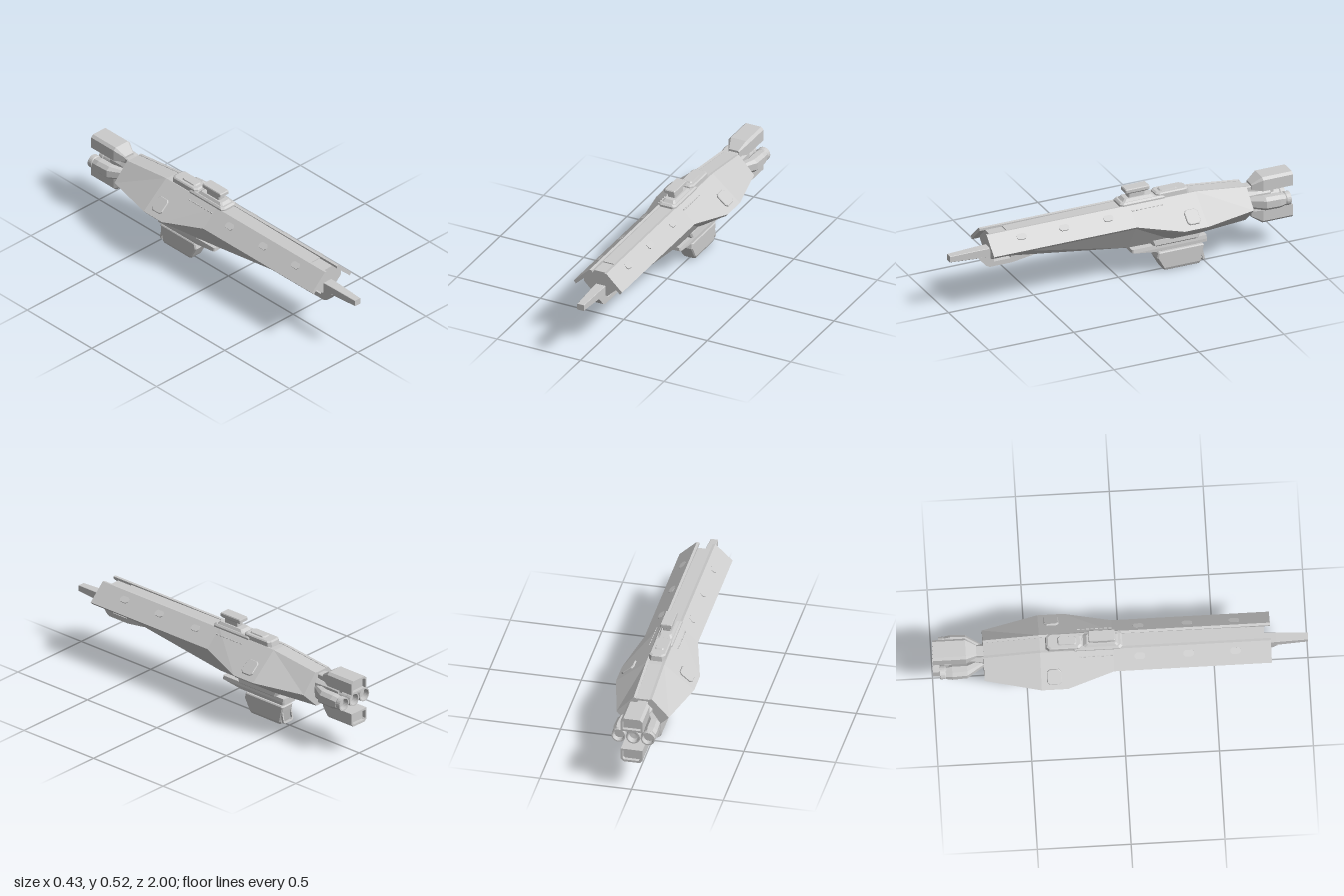
import * as THREE from 'three';

const mat = new THREE.MeshStandardMaterial({ color: 0xcccccc, flatShading: true, side: THREE.DoubleSide });

// Closed solid through convex cross-sections [z, [[x, y], ...]], listed from front to back
function loft(sections) {
  let area = 0;
  const first = sections[0][1], n = first.length, v = [];
  first.forEach((p, i) => { const q = first[(i + 1) % n]; area += p[0] * q[1] - q[0] * p[1]; });
  const rings = sections.map(([z, pts]) => (area < 0 ? [...pts].reverse() : pts).map(p => [p[0], p[1], z]));
  for (let k = 0; k + 1 < rings.length; k++) {
    const a = rings[k], b = rings[k + 1];
    for (let i = 0; i < n; i++) {
      const j = (i + 1) % n;
      v.push(...a[i], ...b[i], ...a[j], ...a[j], ...b[i], ...b[j]);
    }
  }
  const f = rings[0], r = rings[rings.length - 1];
  for (let i = 1; i < n - 1; i++) v.push(...f[0], ...f[i], ...f[i + 1], ...r[0], ...r[i + 1], ...r[i]);
  const g = new THREE.BufferGeometry();
  g.setAttribute('position', new THREE.Float32BufferAttribute(v, 3));
  g.computeVertexNormals();
  return g;
}

// Chamfered rectangle, as points
const chamfer = (x0, x1, y0, y1, c) => [
  [x0 + c, y0], [x1 - c, y0], [x1, y0 + c], [x1, y1 - c],
  [x1 - c, y1], [x0 + c, y1], [x0, y1 - c], [x0, y0 + c]];

// Loft upwards: layers [y, halfWidth, zFront, zBack, chamfer], listed from top to bottom
const stack = layers => loft(layers.map(([y, w, zf, zb, c]) => [y, chamfer(-w, w, -zf, -zb, c)])).rotateX(-Math.PI / 2);

const toShape = pts => new THREE.Shape(pts.map(p => new THREE.Vector2(p[0], p[1])));

// Ring of given outline and inner outline, extruded along z
function frame(outer, inner, z, depth) {
  const s = toShape(outer);
  s.holes.push(toShape(inner));
  return new THREE.ExtrudeGeometry(s, { depth, bevelEnabled: false }).translate(0, 0, z);
}

function add(parent, name, geo, x = 0, y = 0, z = 0) {
  const m = new THREE.Mesh(geo, mat);
  m.name = name;
  m.position.set(x, y, z);
  parent.add(m);
  return m;
}

function mirrored(parent, name, build) {
  for (const s of [1, -1]) {
    const g = new THREE.Group();
    g.name = (s > 0 ? 'left' : 'right') + name;
    g.scale.x = s;
    build(g);
    parent.add(g);
  }
}

export function createModel() {
  const ship = new THREE.Group();
  ship.name = 'spaceship';

  // Armour stations: z, top y, outer edge x and y
  const armour = [[0.8, 0.44, 0.145, 0.35], [-0.04, 0.44, 0.145, 0.35], [-0.29, 0.44, 0.213, 0.302],
    [-0.43, 0.44, 0.213, 0.302], [-0.73, 0.405, 0.143, 0.305]];

  // Inner hull below the armour: z, bottom y, edge x and y, top y
  const hull = [[0.67, 0.286, 0.115, 0.345, 0.43], [-0.04, 0.185, 0.132, 0.337, 0.436], [-0.29, 0.182, 0.2, 0.289, 0.436],
    [-0.43, 0.182, 0.2, 0.289, 0.436], [-0.73, 0.205, 0.131, 0.292, 0.401]];
  add(ship, 'hull', loft(hull.map(([z, b, ex, ey, t]) =>
    [z, [[-0.04, b], [0.04, b], [ex, ey], [0.043, t], [-0.043, t], [-ex, ey]]])));

  // Octagonal nose
  const oct = [[-0.04, 0.286], [0.04, 0.286], [0.1, 0.343], [0.1, 0.368], [0.04, 0.425], [-0.04, 0.425], [-0.1, 0.368], [-0.1, 0.343]];
  add(ship, 'nose', loft([[0.767, oct], [0.6, oct]]));

  mirrored(ship, 'Armour', g => {
    add(g, 'armourPlate', loft(armour.map(([z, t, ex, ey]) =>
      [z, [[0.05, t], [0.036, t - 0.002], [0.036, t - 0.015], [ex - 0.013, ey - 0.015], [ex, ey]]])));

    // Raised hatch on the widest part of the slope
    const hatch = new THREE.Group();
    hatch.name = 'hatch';
    hatch.position.set(0.157, 0.35, -0.36);
    hatch.rotation.z = -Math.atan2(0.138, 0.163);
    add(hatch, 'hatchCover', stack([[0.009, 0.041, 0.036, -0.036, 0.014], [0.006, 0.044, 0.039, -0.039, 0.014], [-0.008, 0.044, 0.039, -0.039, 0.014]]));
    g.add(hatch);

    // Tilted port covers along the forward armour, lower rim standing proud
    for (const z of [0.61, 0.36, 0.1]) {
      const port = add(g, 'portCover', stack([[0.003, 0.018, 0.028, -0.028, 0.01], [-0.006, 0.018, 0.028, -0.028, 0.01]]), 0.085, 0.407, z);
      port.rotation.z = -Math.atan2(0.09, 0.095) + 0.15;
    }
    // Row of small windows beside the bridge
    for (let i = 0; i < 8; i++) add(g, 'window', new THREE.BoxGeometry(0.006, 0.005, 0.014), 0.077, 0.416, -0.05 - i * 0.024);
  });

  // Bow gun
  add(ship, 'gunBarrel', loft([
    [1, chamfer(-0.02, 0.02, 0.305, 0.34, 0.002)],
    [0.83, chamfer(-0.027, 0.027, 0.297, 0.345, 0.002)],
    [0.75, chamfer(-0.03, 0.03, 0.288, 0.345, 0.002)]]));
  // Gun cradle, drawn in the side plane with an open slot
  const cradle = toShape([[0.84, 0.30], [0.79, 0.245], [0.77, 0.235], [0.64, 0.235], [0.46, 0.262], [0.46, 0.3]]);
  cradle.holes.push(toShape([[0.745, 0.262], [0.745, 0.286], [0.645, 0.286], [0.645, 0.262]]));
  add(ship, 'gunCradle', new THREE.ExtrudeGeometry(cradle, { depth: 0.056, bevelEnabled: false })
    .rotateY(-Math.PI / 2).translate(0.028, 0, 0));

  // Bridge on the back
  add(ship, 'bridgeBase', stack([[0.456, 0.044, 0, -0.25, 0.014], [0.447, 0.052, 0.01, -0.26, 0.014], [0.43, 0.052, 0.01, -0.26, 0.014]]));
  add(ship, 'bridgeStep', stack([[0.47, 0.03, -0.025, -0.18, 0.008], [0.455, 0.04, -0.01, -0.2, 0.01]]));
  add(ship, 'bridgeNeck', stack([[0.498, 0.022, -0.05, -0.145, 0.004], [0.468, 0.022, -0.05, -0.145, 0.004]]));
  add(ship, 'bridgeHead', stack([[0.523, 0.028, -0.032, -0.168, 0.004], [0.518, 0.031, -0.028, -0.17, 0.004],
    [0.502, 0.031, -0.028, -0.17, 0.004], [0.495, 0.025, -0.04, -0.16, 0.004]]));
  add(ship, 'rearDeck', stack([[0.469, 0.038, -0.215, -0.385, 0.016], [0.463, 0.044, -0.205, -0.395, 0.016], [0.43, 0.046, -0.2, -0.4, 0.016]]));
  add(ship, 'deckCover', stack([[0.475, 0.022, -0.24, -0.33, 0.008], [0.465, 0.026, -0.23, -0.34, 0.008]]));

  // Keel plate and hanging pod
  add(ship, 'keelCollar', stack([[0.2, 0.056, -0.17, -0.46, 0.01], [0.172, 0.06, -0.18, -0.45, 0.01], [0.164, 0.052, -0.19, -0.44, 0.01]]));
  add(ship, 'keelPlate', stack([[0.167, 0.046, -0.06, -0.5, 0.006], [0.147, 0.049, -0.06, -0.5, 0.006], [0.143, 0.049, -0.09, -0.5, 0.006], [0.13, 0.049, -0.19, -0.5, 0.006]]));
  add(ship, 'podNeck', stack([[0.14, 0.025, -0.24, -0.45, 0.005], [0.11, 0.025, -0.24, -0.45, 0.005]]));
  add(ship, 'pod', stack([[0.116, 0.038, -0.222, -0.482, 0.006], [0.11, 0.042, -0.217, -0.487, 0.007], [0.083, 0.042, -0.21, -0.482, 0.007],
    [0.02, 0.042, -0.245, -0.468, 0.007], [0.006, 0.036, -0.254, -0.464, 0.006], [0, 0.026, -0.262, -0.458, 0.004]]));
  // Frame around the sloping rear of the pod
  const rim = add(ship, 'podRearFrame', frame(chamfer(-0.038, 0.038, -0.046, 0.046, 0.01), chamfer(-0.03, 0.03, -0.037, 0.037, 0.007), -0.006, 0.012), 0, 0.06, -0.478);
  rim.rotation.x = 0.2;

  // Engine block between the hull and the thrusters
  add(ship, 'engineBlock', loft([[-0.7, chamfer(-0.06, 0.06, 0.24, 0.37, 0.02)], [-0.8, chamfer(-0.04, 0.04, 0.255, 0.355, 0.015)],
    [-0.88, chamfer(-0.036, 0.036, 0.26, 0.35, 0.015)]]));

  // Upper and lower box thrusters, mirrored about the engine axis
  const box = (w, y0, y1, c) => [[-w, y0], [w, y0], [w, y1 - c], [w - c, y1], [-w + c, y1], [-w, y1 - c]];
  for (const s of [1, -1]) {
    const g = new THREE.Group();
    g.name = s > 0 ? 'upperThruster' : 'lowerThruster';
    g.position.y = 0.305;
    g.scale.y = s;
    const full = box(0.059, 0.056, 0.134, 0.014);
    add(g, 'thrusterBody', loft([[-0.768, box(0.032, 0.066, 0.096, 0.005)], [-0.825, full], [-0.98, full]]));
    add(g, 'thrusterFrame', frame(full, box(0.048, 0.067, 0.122, 0.008), -1, 0.021));
    add(g, 'thrusterPylon', loft([[-0.71, chamfer(-0.03, 0.03, 0.02, 0.085, 0.004)], [-0.8, chamfer(-0.028, 0.028, 0.02, 0.085, 0.004)],
      [-0.9, chamfer(-0.024, 0.024, 0.02, 0.06, 0.004)]]));
    ship.add(g);
  }

  // Round nozzles: hollow, opening aft
  const nozzle = new THREE.LatheGeometry([[0, 0], [0.034, 0], [0.034, 0.085], [0.038, 0.09], [0.038, 0.115], [0.031, 0.115], [0.028, 0.08], [0, 0.075]]
    .map(p => new THREE.Vector2(...p)), 24).rotateX(-Math.PI / 2);
  add(ship, 'centreNozzle', nozzle, 0, 0.305, -0.85);
  mirrored(ship, 'Engine', g => {
    add(g, 'engineHousing', loft([[-0.72, chamfer(0.015, 0.05, 0.28, 0.33, 0.008)], [-0.82, chamfer(0.048, 0.115, 0.267, 0.343, 0.018)],
      [-0.9, chamfer(0.048, 0.119, 0.267, 0.343, 0.018)], [-0.935, chamfer(0.052, 0.115, 0.272, 0.338, 0.018)]]));
    add(g, 'engineNozzle', nozzle, 0.08, 0.305, -0.85);
  });

  return ship;
}
